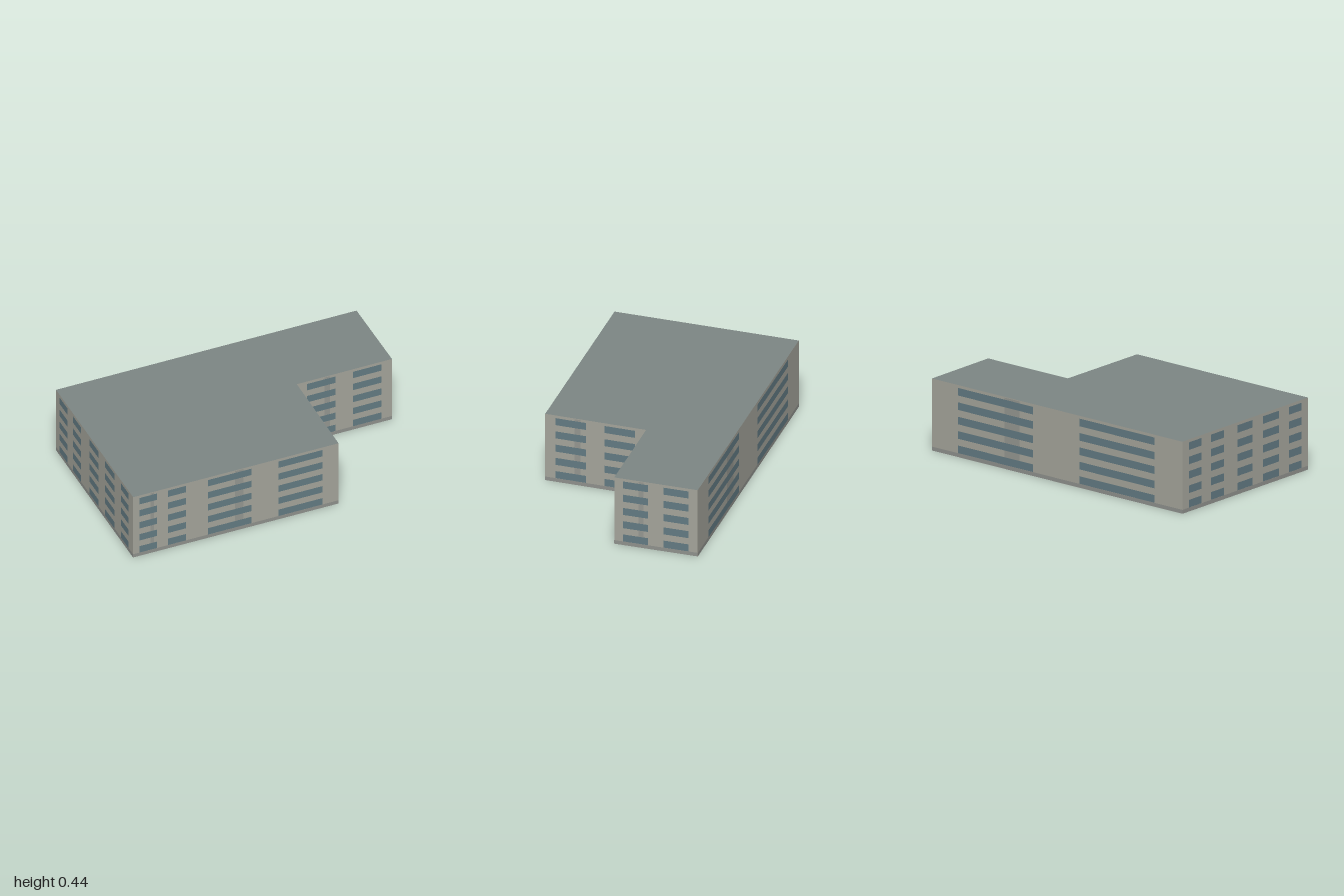
import * as THREE from 'three';

const HEIGHT = 0.445;
const FLOORS = 5;
const FLOOR = HEIGHT / FLOORS;

const paint = (color) => new THREE.MeshStandardMaterial({ color, side: THREE.DoubleSide });
const pane = (color) => new THREE.MeshStandardMaterial({ color });

// Footprint corners (x, z), anticlockwise seen from above
const corners = [[-0.82, 0.72], [0.485, 0.51], [0.39, -0.11], [0.995, -0.21], [0.91, -0.72], [-1, -0.41]];

// One bay: two window columns and a faint pilaster, as fractions of its width
const bay = (from = 0, to = 1) => {
  const at = (f) => from + f * (to - from);
  return {
    windows: [[at(0.105), at(0.405)], [at(0.59), at(0.89)]],
    pilasters: [[at(0.29), at(0.35)]],
  };
};

// Bays of each wall, in the order of the corners
const facades = [
  { name: 'frontWall', bays: [bay(0, 0.288), bay(0.288, 1)] },
  { name: 'courtSideWall', bays: [bay()] },
  { name: 'courtFrontWall', bays: [bay()] },
  { name: 'wingEndWall', bays: [bay()] },
  { name: 'backWall', bays: [bay()] },
  {
    name: 'rightWall',
    bays: [{
      windows: [[0.05, 0.15], [0.225, 0.33], [0.435, 0.555], [0.64, 0.765], [0.845, 0.945]],
      pilasters: [],
    }],
  },
];

export function createModel() {
  const model = new THREE.Group();
  model.name = 'building';

  const wallMat = paint(0xa5a59b);
  const roofMat = paint(0x7d8684);
  const windowMat = pane(0x637b83);
  const pilasterMat = pane(0x959791);
  const plinthMat = pane(0x8f918d);

  // Walls, each built flat along x and then turned into place
  facades.forEach(({ name, bays }, i) => {
    const [x0, z0] = corners[i];
    const [x1, z1] = corners[(i + 1) % corners.length];
    const length = Math.hypot(x1 - x0, z1 - z0);
    const wall = new THREE.Group();
    wall.name = name;
    wall.position.set(x0, 0, z0);
    wall.rotation.y = Math.atan2(z0 - z1, x1 - x0);

    const panel = (part, [f0, f1], y0, y1, depth, material) => {
      const mesh = new THREE.Mesh(new THREE.PlaneGeometry((f1 - f0) * length, y1 - y0), material);
      mesh.name = part;
      mesh.position.set(((f0 + f1) / 2) * length, (y0 + y1) / 2, depth);
      wall.add(mesh);
    };

    panel('wallFace', [0, 1], 0, HEIGHT, 0, wallMat);
    panel('plinth', [0, 1], 0, 0.024, 0.001, plinthMat);
    for (const { windows, pilasters } of bays) {
      pilasters.forEach((span) => panel('pilaster', span, 0.024, HEIGHT - 0.005, 0.001, pilasterMat));
      for (let floor = 0; floor < FLOORS; floor++) {
        const y = floor * FLOOR + 0.025;
        windows.forEach((span) => panel('window', span, y, y + 0.047, 0.002, windowMat));
      }
    }
    model.add(wall);
  });

  // Flat roof over the open-bottomed shell
  const outline = new THREE.Shape(corners.map(([x, z]) => new THREE.Vector2(x, -z)));
  const roof = new THREE.Mesh(new THREE.ShapeGeometry(outline).rotateX(-Math.PI / 2), roofMat);
  roof.name = 'roof';
  roof.position.y = HEIGHT;
  model.add(roof);

  return model;
}
